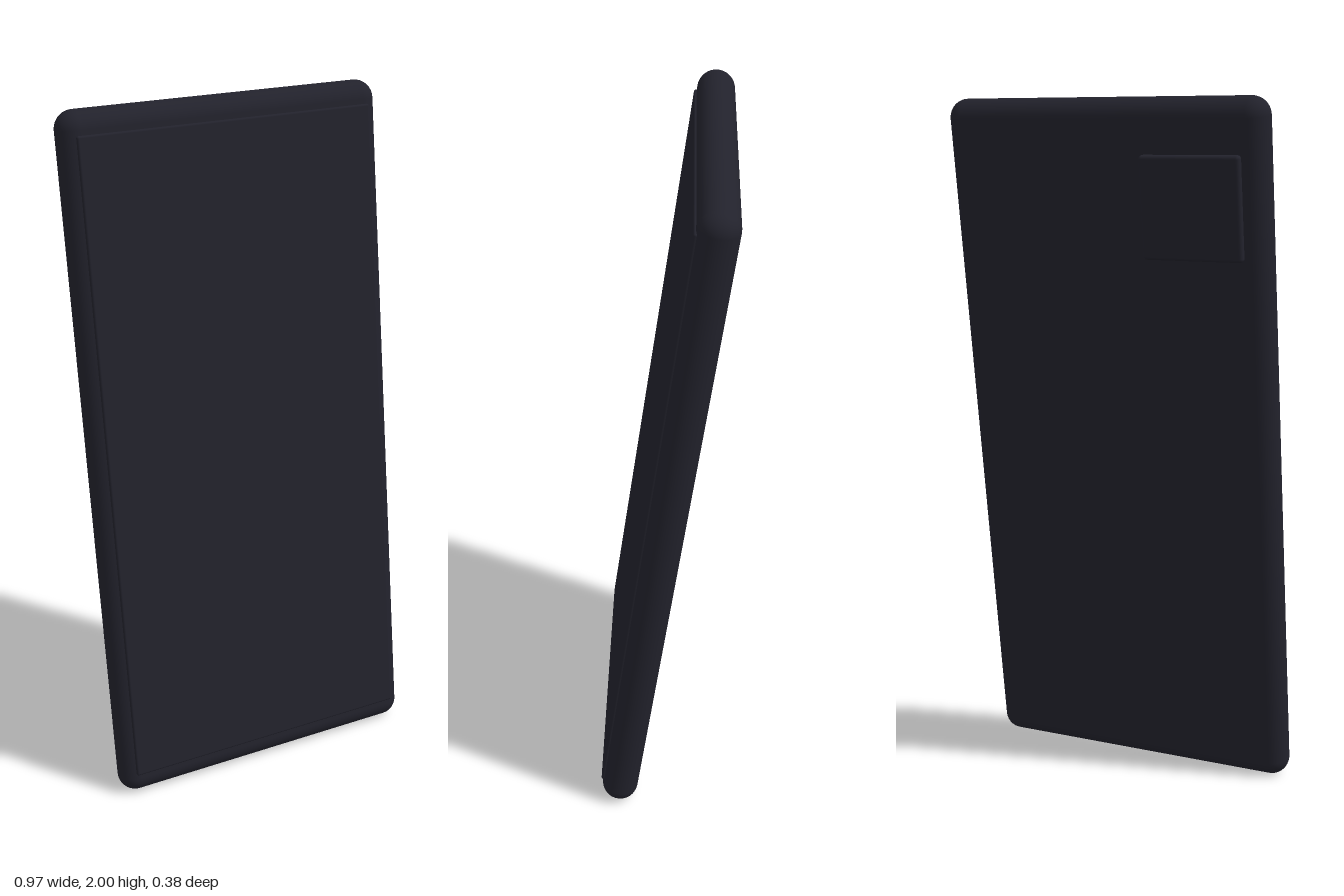
import * as THREE from 'three';
import { RoundedBoxGeometry } from 'three/addons/geometries/RoundedBoxGeometry.js';

export function createModel() {
  const model = new THREE.Group();
  model.name = 'phone';
  const charcoal = new THREE.MeshStandardMaterial({ color: 0x22222c });
  charcoal.name = 'charcoal';

  // Everything is built upright, then leans back together
  const leaning = new THREE.Group();
  leaning.name = 'leaningPhone';
  leaning.position.set(0, 1, 0.001);
  leaning.rotation.x = -0.14;
  model.add(leaning);

  function slab(name, [w, h, d], [x, y, z], radius, segments) {
    const mesh = new THREE.Mesh(new RoundedBoxGeometry(w, h, d, segments, radius), charcoal);
    mesh.name = name;
    mesh.position.set(x, y, z);
    leaning.add(mesh);
  }

  // Body with fully rounded edges
  slab('body', [0.966, 2.018, 0.107], [0, 0, 0], 0.053, 6);
  // Screen, slightly raised on the front
  slab('screen', [0.89, 1.885, 0.02], [0, 0, 0.05], 0.006, 3);
  // Camera plate on the back, near the top
  slab('cameraPlate', [0.292, 0.286, 0.036], [-0.271, 0.718, -0.054], 0.01, 3);

  return model;
}
